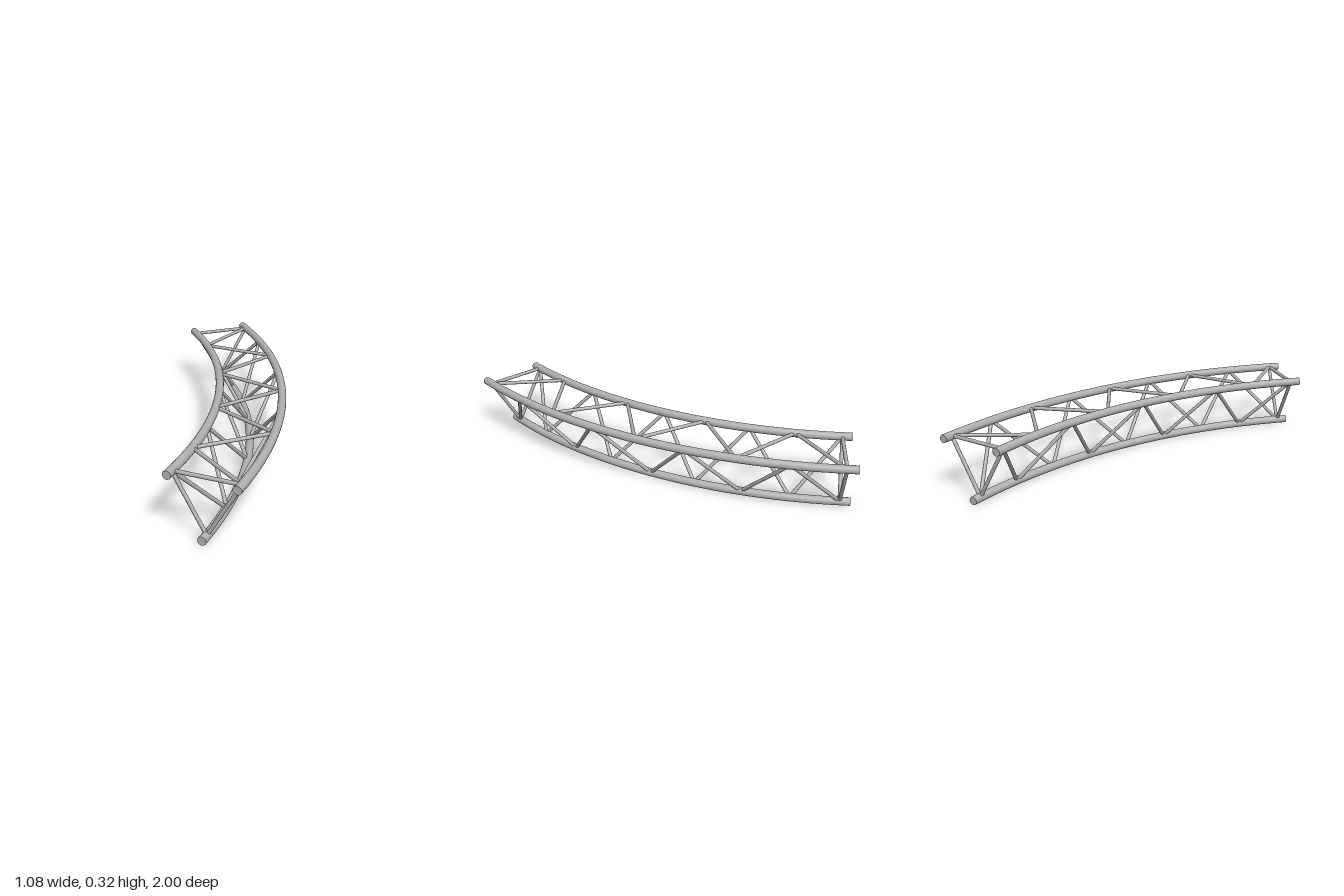
import * as THREE from 'three';

const ARC = Math.PI / 4;        // sweep of the curved truss
const CENTRE_X = -2.286;        // bend centre, in plan
const CENTRE_Z = 1;
const CHORD_R = 0.021;
const BRACE_R = 0.0095;
const BAYS = 8;
const INSET = 0.0195;           // angle between chord ends and first braces

// The three chords: bend radius and height
const CHORDS = {
  outer: { radius: 2.807, y: 0.3 },
  inner: { radius: 2.486, y: 0.3 },
  lower: { radius: 2.646, y: CHORD_R },
};

function pointOn(chord, angle) {
  return new THREE.Vector3(
    CENTRE_X + chord.radius * Math.cos(angle),
    chord.y,
    CENTRE_Z - chord.radius * Math.sin(angle)
  );
}

export function createModel() {
  const model = new THREE.Group();
  model.name = 'curvedTruss';
  const metal = new THREE.MeshStandardMaterial({ color: 0xb0b0b0 });
  metal.name = 'aluminium grey';

  // Curved chord tube with flat end caps
  function addChord(name, chord) {
    const group = new THREE.Group();
    group.name = name + 'Chord';
    const tube = new THREE.Mesh(new THREE.TorusGeometry(chord.radius, CHORD_R, 20, 40, ARC), metal);
    tube.name = name + 'Tube';
    tube.rotation.x = -Math.PI / 2;
    tube.position.set(CENTRE_X, chord.y, CENTRE_Z);
    group.add(tube);
    [[0, 0], [ARC, Math.PI + ARC]].forEach(([angle, turn], i) => {
      const cap = new THREE.Mesh(new THREE.CircleGeometry(CHORD_R, 20), metal);
      cap.name = name + (i ? 'BackCap' : 'FrontCap');
      cap.position.copy(pointOn(chord, angle));
      cap.rotation.y = turn;
      group.add(cap);
    });
    model.add(group);
  }

  // Straight round bar between two points
  const up = new THREE.Vector3(0, 1, 0);
  function addBar(parent, name, a, b) {
    const dir = b.clone().sub(a);
    const bar = new THREE.Mesh(new THREE.CylinderGeometry(BRACE_R, BRACE_R, dir.length(), 12), metal);
    bar.name = name;
    bar.position.copy(a).add(b).multiplyScalar(0.5);
    bar.quaternion.setFromUnitVectors(up, dir.normalize());
    parent.add(bar);
  }

  // Zigzag lacing of one face, closed by a bar at each end
  function addLacing(name, even, odd) {
    const group = new THREE.Group();
    group.name = name;
    const angleAt = (k) => INSET + (k / BAYS) * (ARC - 2 * INSET);
    const node = (k) => pointOn(k % 2 ? odd : even, angleAt(k));
    for (let k = 0; k < BAYS; k++) addBar(group, 'diagonalBrace', node(k), node(k + 1));
    for (const k of [0, BAYS]) {
      addBar(group, 'endBrace', pointOn(even, angleAt(k)), pointOn(odd, angleAt(k)));
    }
    model.add(group);
  }

  for (const [name, chord] of Object.entries(CHORDS)) addChord(name, chord);
  addLacing('topLacing', CHORDS.outer, CHORDS.inner);
  addLacing('outerLacing', CHORDS.lower, CHORDS.outer);
  addLacing('innerLacing', CHORDS.inner, CHORDS.lower);
  return model;
}
